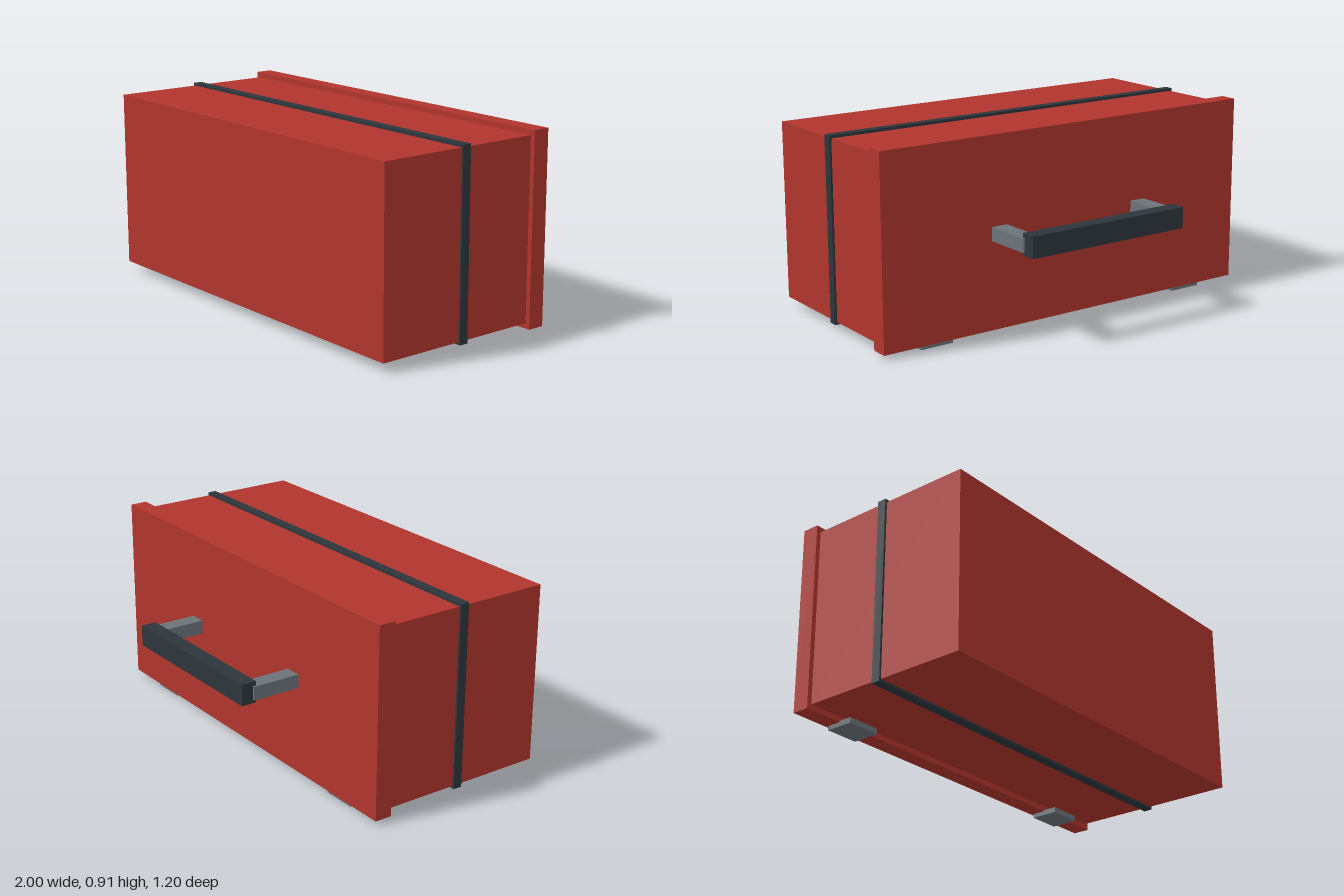
import * as THREE from 'three';

const material = (name, color) => {
  const m = new THREE.MeshStandardMaterial({ color });
  m.name = name;
  return m;
};

export function createModel() {
  const red = material('red paint', 0xb0352d);
  const dark = material('dark rubber', 0x2d363c);
  const grey = material('grey metal', 0x6c7379);

  const model = new THREE.Group();
  model.name = 'toolbox';

  // Box given by its lower and upper corner
  const box = (name, mat, [x0, y0, z0], [x1, y1, z1], parent = model) => {
    const mesh = new THREE.Mesh(new THREE.BoxGeometry(x1 - x0, y1 - y0, z1 - z0), mat);
    mesh.position.set((x0 + x1) / 2, (y0 + y1) / 2, (z0 + z1) / 2);
    mesh.name = name;
    parent.add(mesh);
    return mesh;
  };

  // Case, with a wider lid at the back
  box('body', red, [-0.977, 0.045, -0.226], [0.977, 0.89, 0.6]);
  box('lid', red, [-1, 0.02, -0.308], [1, 0.915, -0.226]);

  // Seal strip running around the body
  box('sealBand', dark, [-0.987, 0.033, 0.137], [0.987, 0.903, 0.18]);

  // Carrying handle on the lid
  const handle = new THREE.Group();
  handle.name = 'handle';
  model.add(handle);
  box('grip', dark, [-0.425, 0.42, -0.6], [0.425, 0.52, -0.526], handle);

  // Mirrored handle posts and hinge plates
  for (const [side, s] of [['left', 1], ['right', -1]]) {
    const post = box(side + 'Post', grey, [0.355, 0.435, -0.543], [0.435, 0.5, -0.3], handle);
    const hinge = box(side + 'Hinge', grey, [0.638, 0, -0.294], [0.805, 0.026, -0.16]);
    post.position.x *= s;
    hinge.position.x *= s;
  }

  return model;
}
